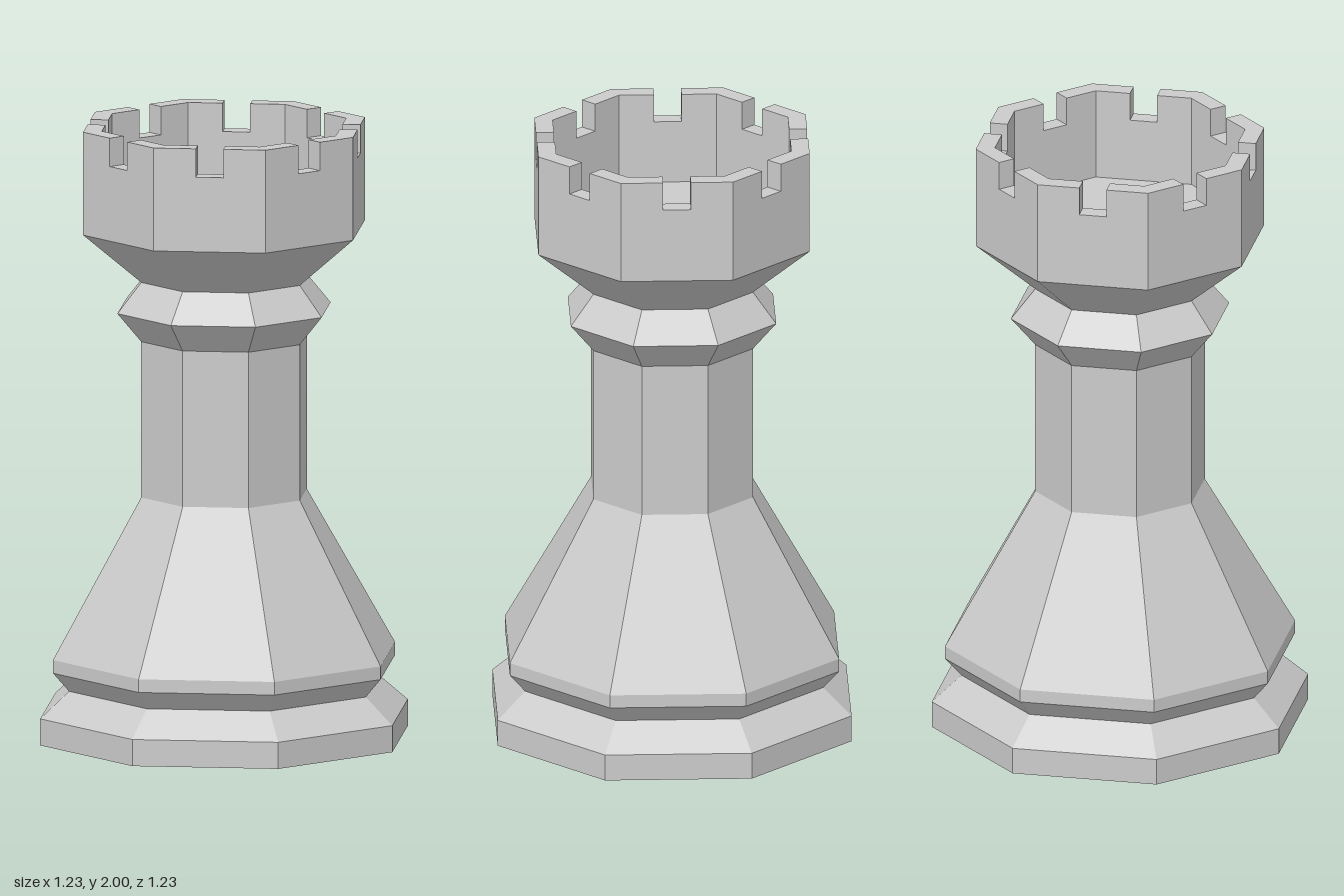
import * as THREE from 'three';

const SIDES = 8;
const STEP = (Math.PI * 2) / SIDES;
const OUTER = 0.473, INNER = 0.41;      // crown wall radii at the corners
const TOP = 2, SILL = 1.907, FLOOR = 1.7;
const NOTCH = 0.0445;                   // half width of a notch

const material = new THREE.MeshStandardMaterial({ color: 0xcccccc, flatShading: true });

function lathe(name, profile) {
  const points = profile.map(([r, y]) => new THREE.Vector2(r, y));
  const mesh = new THREE.Mesh(new THREE.LatheGeometry(points, SIDES), material);
  mesh.name = name;
  return mesh;
}

// L-shaped wall block that wraps one corner of the crown, from notch to notch
function merlonGeometry() {
  const half = STEP / 2;
  const notchEdge = (radius, side) => {
    const a = radius * Math.cos(half);
    return new THREE.Vector2(
      a * Math.cos(half) + NOTCH * Math.sin(half),
      side * (a * Math.sin(half) - NOTCH * Math.cos(half)));
  };
  const shape = new THREE.Shape([
    notchEdge(OUTER, -1), new THREE.Vector2(OUTER, 0), notchEdge(OUTER, 1),
    notchEdge(INNER, 1), new THREE.Vector2(INNER, 0), notchEdge(INNER, -1),
  ]);
  return new THREE.ExtrudeGeometry(shape, { depth: TOP - SILL, bevelEnabled: false })
    .rotateX(-Math.PI / 2);
}

export function createModel() {
  const model = new THREE.Group();
  model.name = 'rook';

  // Plinth, skirt, shaft, collar and hollow crown share one closed profile
  model.add(lathe('body', [
    [0, 0], [0.617, 0], [0.617, 0.087], [0.52, 0.172],       // plinth
    [0.574, 0.234], [0.574, 0.277],                          // skirt rim
    [0.278, 0.794], [0.278, 1.304],                          // skirt and shaft
    [0.358, 1.4], [0.278, 1.498],                            // collar
    [OUTER, 1.663], [OUTER, SILL],                           // crown outside
    [INNER, SILL], [INNER, FLOOR], [0, FLOOR],               // crown inside
  ]));

  // Battlements: one merlon on every corner
  const battlements = new THREE.Group();
  battlements.name = 'battlements';
  const geometry = merlonGeometry();
  for (let i = 0; i < SIDES; i++) {
    const merlon = new THREE.Mesh(geometry, material);
    merlon.name = 'merlon';
    merlon.position.y = SILL;
    merlon.rotation.y = i * STEP;
    battlements.add(merlon);
  }
  model.add(battlements);
  return model;
}
